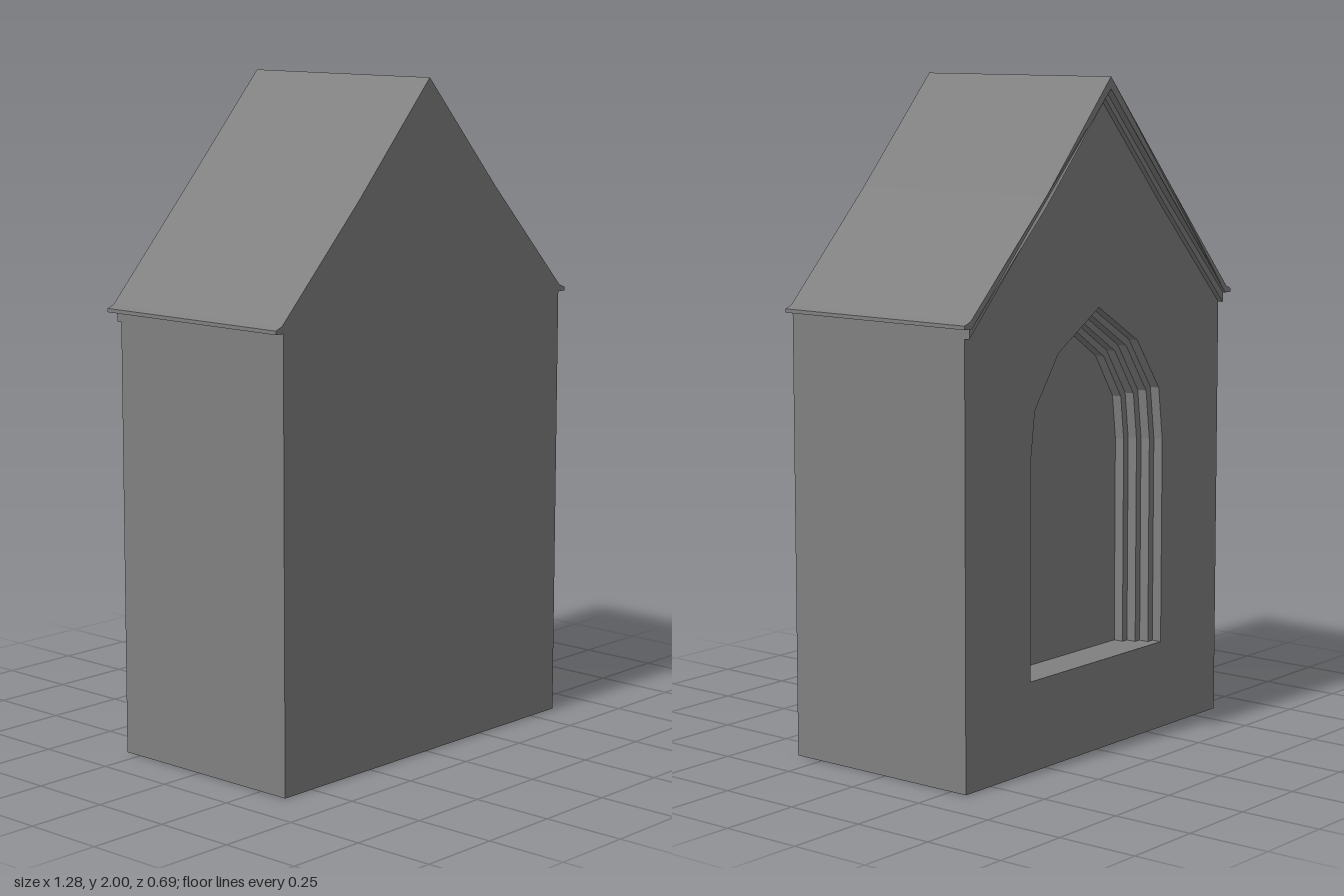
import * as THREE from 'three';

const FRONT = 0.345, BACK_WALL = -0.305, BACK_ROOF = -0.345;

// closed shape from its +x half (listed bottom to top), mirrored to -x
function mirrored(half, Type = THREE.Shape) {
  const left = half.filter(p => p[0] > 0).reverse().map(([x, y]) => [-x, y]);
  return new Type([...half, ...left].map(([x, y]) => new THREE.Vector2(x, y)));
}

// flat-capped prism between two z planes
function prism(shape, zBack, zFront) {
  const g = new THREE.ExtrudeGeometry(shape, { depth: zFront - zBack, bevelEnabled: false });
  return g.translate(0, 0, zBack);
}

// pointed arch opening, narrowed by an inset but keeping its sill
function arch(inset) {
  const k = 1 - inset / 0.32, sill = 0.27;
  return mirrored([
    [0.32 * k, sill], [0.32 * k, 0.9],
    [0.3 * k, 1.06 - inset * 0.4], [0.19 * k, 1.215 - inset * 0.75], [0, 1.33 - inset],
  ], THREE.Path);
}

// band following the gable: outer edge (eave to ridge), inner edge (eave to ridge)
function chevron(outer, inner) {
  const flip = list => list.map(([x, y]) => [-x, y]);
  const pts = [
    ...outer, ...flip(outer.slice(0, -1)).reverse(),
    ...flip(inner.slice(0, -1)), ...inner.slice().reverse(),
  ];
  return new THREE.Shape(pts.map(([x, y]) => new THREE.Vector2(x, y)));
}

export function createModel() {
  const model = new THREE.Group();
  model.name = 'gabledNiche';
  const stone = new THREE.MeshStandardMaterial({ color: 0x808080 });
  stone.name = 'grey stone';

  const add = (name, geometry) => {
    const mesh = new THREE.Mesh(geometry, stone);
    mesh.name = name;
    model.add(mesh);
  };

  const underRoof = [[0.61, 1.325], [0.3, 1.64], [0, 1.965]];
  const house = () => mirrored([[0.61, 0], ...underRoof]);

  // solid body in front of the niche
  const steps = 4, depth = 0.125, panel = BACK_WALL + depth;
  add('body', prism(house(), panel, FRONT));

  // back wall in layers, each with a smaller arch, forming the stepped jambs
  for (let i = 0; i < steps; i++) {
    const shape = house();
    shape.holes.push(arch(0.07 * i / (steps - 1)));
    const z = BACK_WALL + depth * i / steps;
    add('nicheStep' + (i + 1), prism(shape, z, z + depth / steps));
  }

  // roof slab with flared eaves; its back edge draws in towards the eaves
  const roofTop = [[0.64, 1.325], [0.64, 1.336], [0.615, 1.346], [0.3, 1.67], [0, 2]];
  const roof = prism(chevron(roofTop, underRoof), BACK_ROOF, FRONT);
  const pos = roof.attributes.position;
  for (let i = 0; i < pos.count; i++) {
    if (pos.getZ(i) > 0) continue;
    const x = Math.abs(pos.getX(i));
    pos.setZ(i, BACK_ROOF + 0.015 * Math.max(0, x - 0.3) / 0.34);
  }
  roof.computeVertexNormals();
  add('roof', roof);

  // thin moulding under the back overhang
  const mouldingInner = [[0.61, 1.295], [0.3, 1.615], [0, 1.94]];
  add('gableMoulding', prism(chevron(underRoof, mouldingInner), -0.322, BACK_WALL));

  return model;
}
